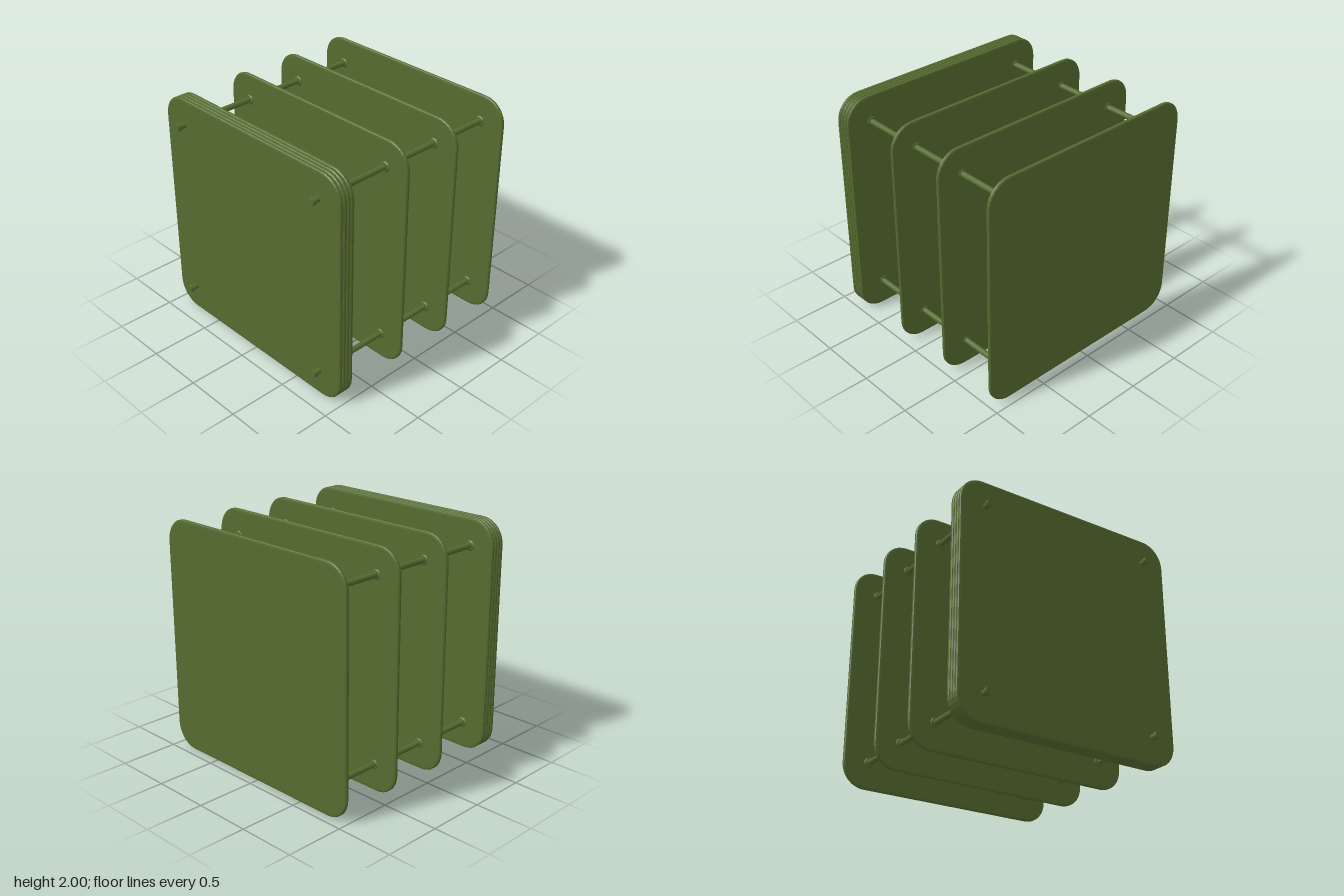
import * as THREE from 'three';

const material = new THREE.MeshStandardMaterial({ color: 0x556b2f });

// Rounded square plate with softened rims, facing z, starting at zBack
function plate(name, zBack, depth) {
  const h = 1, r = 0.2, s = new THREE.Shape();
  s.moveTo(h - r, -h);
  s.absarc(h - r, -h + r, r, -Math.PI / 2, 0);
  s.absarc(h - r, h - r, r, 0, Math.PI / 2);
  s.absarc(-h + r, h - r, r, Math.PI / 2, Math.PI);
  s.absarc(-h + r, -h + r, r, Math.PI, Math.PI * 1.5);
  s.closePath();
  const bevel = 0.01;
  const geometry = new THREE.ExtrudeGeometry(s, {
    depth: depth - 2 * bevel, curveSegments: 4, bevelEnabled: true,
    bevelThickness: bevel, bevelSize: 0.02, bevelOffset: -0.02, bevelSegments: 2,
  });
  const mesh = new THREE.Mesh(geometry, material);
  mesh.name = name;
  mesh.position.set(0, 1, zBack + bevel);
  return mesh;
}

// Cylinder along z between two depths
function rod(name, x, y, z0, z1, rBack, rFront = rBack) {
  const geometry = new THREE.CylinderGeometry(rFront, rBack, z1 - z0, 12);
  geometry.rotateX(Math.PI / 2);
  const mesh = new THREE.Mesh(geometry, material);
  mesh.name = name;
  mesh.position.set(x, y, (z0 + z1) / 2);
  return mesh;
}

export function createModel() {
  const model = new THREE.Group();
  model.name = 'plateStack';

  // Three separate shelves and the laminated front block
  const thin = 0.035;
  const backs = [-0.93, -0.388, 0.145];
  const names = ['backPlate', 'rearMiddlePlate', 'frontMiddlePlate'];
  backs.forEach((z, i) => model.add(plate(names[i], z, thin)));
  for (let i = 0; i < 4; i++) model.add(plate('frontBlockLayer', 0.71 + i * thin, thin));

  // Four tie rods with collars at each plate and a bolt head in front
  for (const x of [-0.775, 0.775]) {
    for (const y of [0.227, 1.777]) {
      const tie = new THREE.Group();
      tie.name = 'tieRod';
      tie.add(rod('shaft', x, y, -0.91, 0.9, 0.024));
      tie.add(rod('boltHead', x, y, 0.893, 0.93, 0.031));
      backs.forEach((z, i) => {
        tie.add(rod('frontCollar', x, y, z + thin - 0.003, z + thin + 0.009, 0.048, 0.034));
        if (i > 0) tie.add(rod('backCollar', x, y, z - 0.006, z + 0.003, 0.034, 0.046));
      });
      tie.add(rod('blockCollar', x, y, 0.702, 0.713, 0.034, 0.048));
      model.add(tie);
    }
  }
  return model;
}
